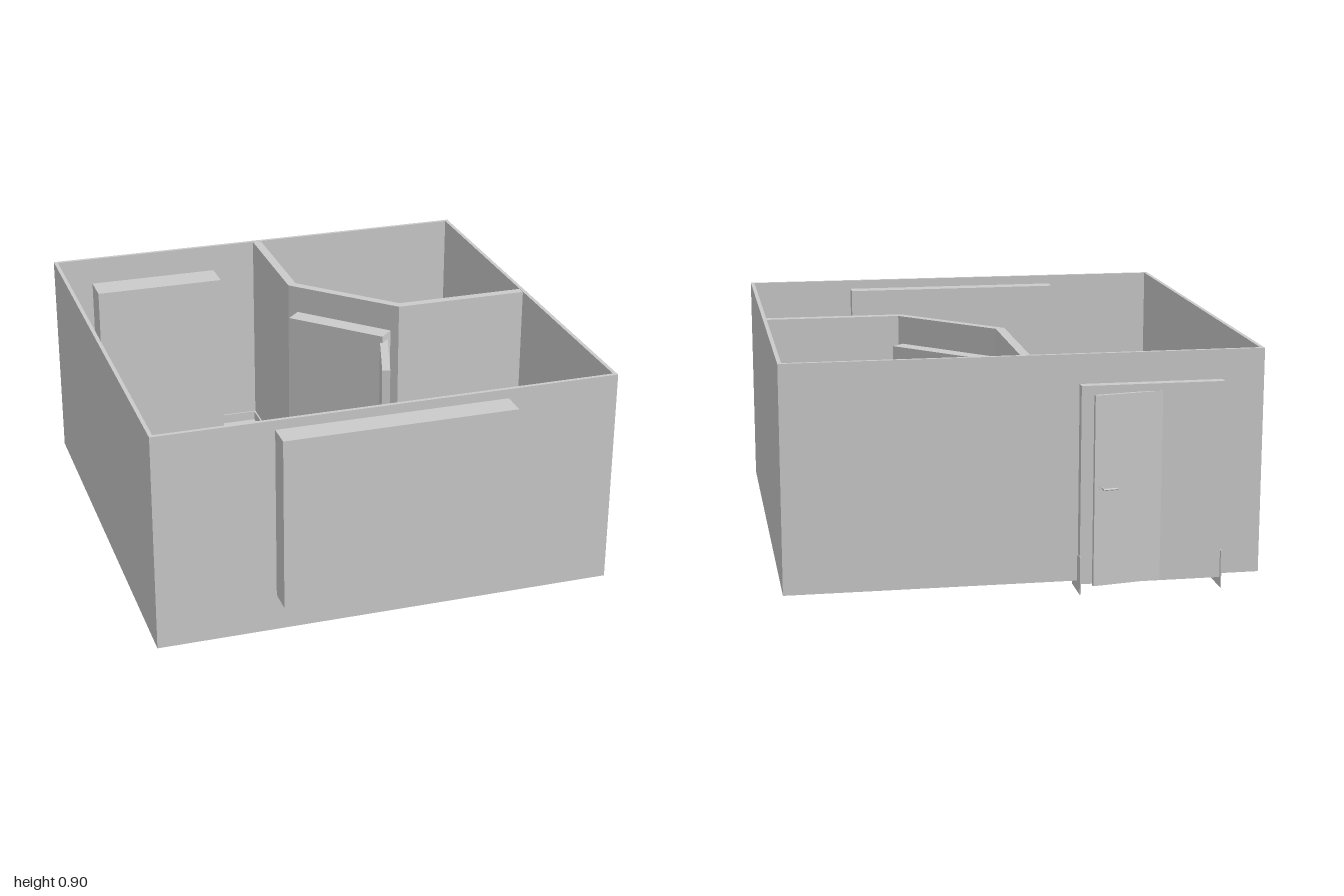
import * as THREE from 'three';

const material = new THREE.MeshStandardMaterial({ color: 0xcccccc, flatShading: true });
const FLOOR = 0.04, TOP = 0.905, HALF = 0.9;

function add(parent, name, geometry, x = 0, y = 0, z = 0) {
  const mesh = new THREE.Mesh(geometry, material);
  mesh.name = name;
  mesh.position.set(x, y, z);
  parent.add(mesh);
  return mesh;
}

// Box given by its limits on each axis
function block(parent, name, x0, x1, y0, y1, z0, z1) {
  return add(parent, name, new THREE.BoxGeometry(x1 - x0, y1 - y0, z1 - z0),
    (x0 + x1) / 2, (y0 + y1) / 2, (z0 + z1) / 2);
}

// Plan outline (x, z) raised from y0 to y1
function raise(parent, name, shape, y0, y1) {
  const geometry = new THREE.ExtrudeGeometry(shape, { depth: y1 - y0, bevelEnabled: false });
  geometry.rotateX(Math.PI / 2);
  return add(parent, name, geometry, 0, y1, 0);
}

const square = h => [[-h, -h], [h, -h], [h, h], [-h, h]].map(p => new THREE.Vector2(...p));

function ring(outer, inner) {
  const shape = new THREE.Shape(square(outer));
  shape.holes.push(new THREE.Path(square(inner)));
  return shape;
}

// Mitred outline of the bent inner wall, d to each side of its centre line
function partition(d) {
  const side = s => [
    [-s, -0.888], [-s, -0.35 + 0.414 * s], [0.35 - 0.414 * s, s], [0.888, s],
  ].map(p => new THREE.Vector2(...p));
  return new THREE.Shape([...side(d), ...side(-d).reverse()]);
}

// Lever handle on both faces of a leaf
function handle(parent, x, y, thickness) {
  const group = new THREE.Group();
  group.name = 'doorHandle';
  group.position.set(x, y, 0);
  for (const s of [-1, 1]) {
    const face = s * thickness / 2;
    const plate = add(group, 'handlePlate', new THREE.CylinderGeometry(0.011, 0.011, 0.004, 16), 0, 0, face);
    plate.rotation.x = Math.PI / 2;
    const neck = add(group, 'handleNeck', new THREE.CylinderGeometry(0.004, 0.004, 0.026, 10), 0, 0, face + s * 0.013);
    neck.rotation.x = Math.PI / 2;
    const lever = add(group, 'handleLever', new THREE.CylinderGeometry(0.004, 0.004, 0.056, 10), -0.024, 0, face + s * 0.025);
    lever.rotation.z = Math.PI / 2;
  }
  parent.add(group);
}

// Leaf swinging from its hinge, running along its own +x
function leaf(parent, name, x, z, angle, length, thickness) {
  const group = new THREE.Group();
  group.name = name;
  group.position.set(x, 0, z);
  group.rotation.y = angle;
  block(group, 'doorPanel', 0, length, FLOOR + 0.001, 0.765, -thickness / 2, thickness / 2);
  handle(group, length - 0.03, 0.415, thickness);
  parent.add(group);
}

// Opening block with a thin foot plate at each jamb
function doorway(parent, name, x, z, angle, width, z0, z1) {
  const group = new THREE.Group();
  group.name = name;
  group.position.set(x, 0, z);
  group.rotation.y = angle;
  block(group, 'doorOpening', -width / 2, width / 2, 0.037, 0.793, z0, z1);
  for (const s of [-1, 1]) {
    const jamb = s * width / 2;
    block(group, 'jambFoot', jamb - 0.002, jamb + 0.002, 0, 0.145, -0.07, 0.07);
  }
  parent.add(group);
}

export function createModel() {
  const model = new THREE.Group();
  model.name = 'roomPlan';

  // Floor and walls
  block(model, 'floor', -0.895, 0.895, FLOOR, FLOOR + 0.005, -0.895, 0.895);
  raise(model, 'outerWalls', ring(HALF, 0.885), FLOOR, TOP);
  raise(model, 'innerWall', partition(0.018), FLOOR + 0.001, TOP - 0.001);

  // Skirting boards
  raise(model, 'outerSkirting', ring(0.8855, 0.879), FLOOR + 0.002, 0.085);
  raise(model, 'innerSkirting', partition(0.025), FLOOR + 0.002, 0.085);

  // Window block through the front wall
  block(model, 'window', -0.44, 0.46, 0.187, 0.868, 0.82, 1.0);

  // Entrance in the back wall, slightly ajar
  doorway(model, 'backDoorway', -0.47, -0.88, 0, 0.54, -0.057, 0.12);
  leaf(model, 'backDoor', -0.73, -0.893, 0.163, 0.495, 0.014);

  // Inner door in the slanted wall, opening into the large room
  doorway(model, 'innerDoorway', 0.177, -0.172, -Math.PI / 4, 0.43, -0.082, 0.092);
  leaf(model, 'innerDoor', 0.3, -0.05, -1.872, 0.375, 0.032);

  return model;
}
